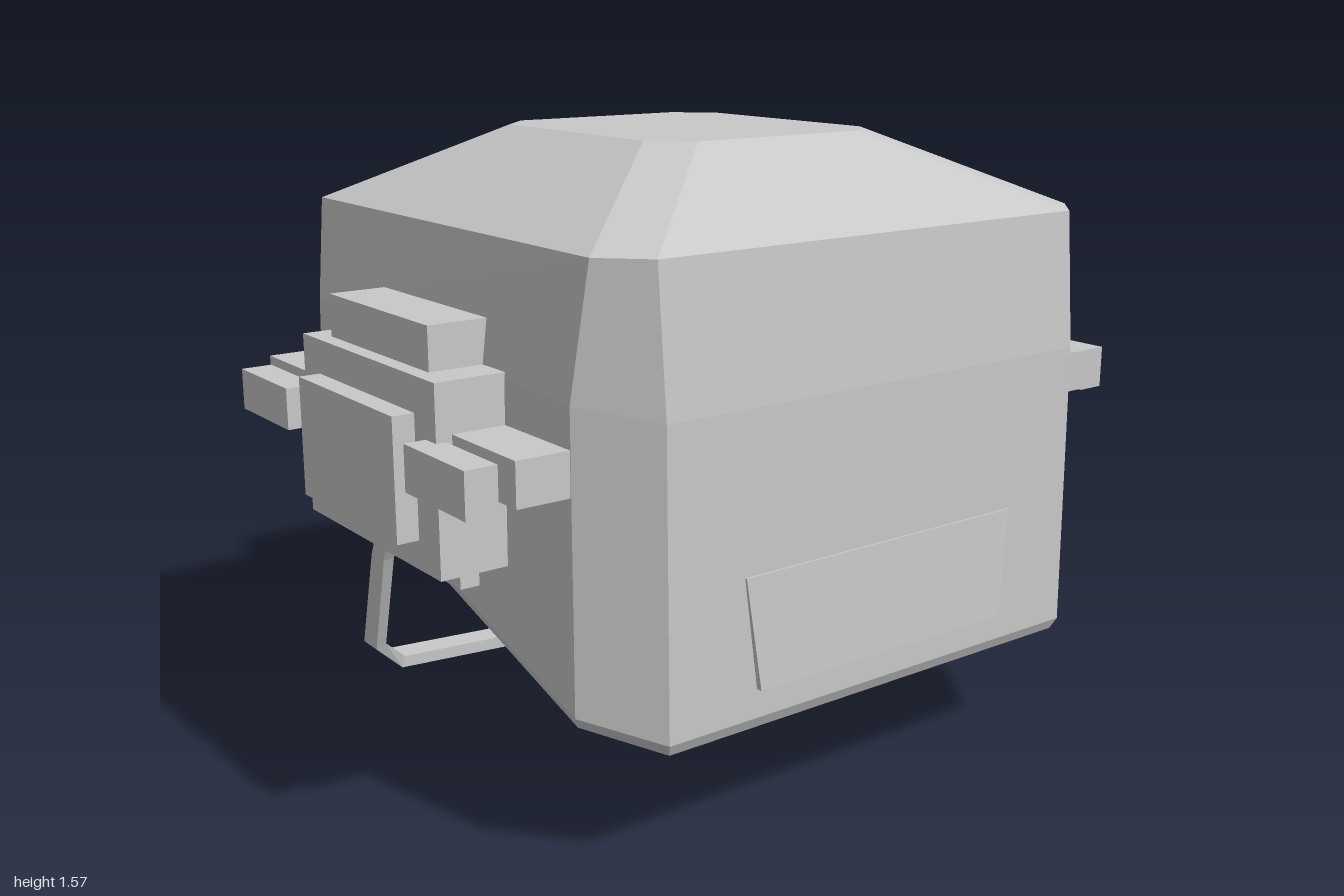
import * as THREE from 'three';

const grey = new THREE.MeshStandardMaterial({ color: 0xc8c8c8, side: THREE.DoubleSide });
grey.name = 'plain grey';

// Flat-faced skin through a list of equal-length closed rings, with optional end caps
function loft(rings, capStart, capEnd) {
  const pos = [];
  const tri = (...pts) => pts.forEach(p => pos.push(...p));
  const n = rings[0].length;
  for (let r = 0; r < rings.length - 1; r++) {
    const a = rings[r], b = rings[r + 1];
    for (let i = 0; i < n; i++) {
      const j = (i + 1) % n;
      tri(a[i], a[j], b[j]);
      tri(a[i], b[j], b[i]);
    }
  }
  const first = rings[0], last = rings[rings.length - 1];
  for (let i = 1; i < n - 1; i++) {
    if (capStart) tri(first[0], first[i + 1], first[i]);
    if (capEnd) tri(last[0], last[i], last[i + 1]);
  }
  const g = new THREE.BufferGeometry();
  g.setAttribute('position', new THREE.Float32BufferAttribute(pos, 3));
  g.computeVertexNormals();
  return g;
}

function add(parent, name, geometry) {
  const m = new THREE.Mesh(geometry, grey);
  m.name = name;
  parent.add(m);
  return m;
}

// Box given by its limits on each axis
function box(parent, name, [x0, x1], [y0, y1], [z0, z1]) {
  const m = add(parent, name, new THREE.BoxGeometry(x1 - x0, y1 - y0, z1 - z0));
  m.position.set((x0 + x1) / 2, (y0 + y1) / 2, (z0 + z1) / 2);
}

// Eight-sided ring from the four corners on +x, front to back
const ring = half => [...half, ...half.map(([x, y, z]) => [-x, y, z]).reverse()];

// Slab with a given outline in x and y, placed on a sloping surface z(x, y)
const slab = (outline, zBack, zOut) => loft([
  outline.map(([x, y]) => [x, y, zBack(x, y)]),
  outline.map(([x, y]) => [x, y, zOut(x, y)]),
], true, true);

export function createModel() {
  const model = new THREE.Group();
  model.name = 'helmet';

  // Chamfered shell, open underneath, with a sloping rim
  add(model, 'shell', loft([
    ring([[0.62, 0.29, 0.815], [0.765, 0.345, 0.675], [0.76, 0.70, -0.52], [0.62, 0.965, -0.66]]),
    ring([[0.63, 0.32, 0.83], [0.775, 0.37, 0.68], [0.775, 0.735, -0.53], [0.63, 0.975, -0.675]]),
    ring([[0.63, 1.04, 0.82], [0.77, 1.07, 0.67], [0.77, 1.12, -0.52], [0.62, 1.13, -0.67]]),
    ring([[0.63, 1.38, 0.79], [0.73, 1.38, 0.69], [0.73, 1.38, -0.56], [0.61, 1.38, -0.655]]),
    ring([[0.25, 1.57, 0.43], [0.34, 1.57, 0.34], [0.34, 1.57, -0.25], [0.25, 1.57, -0.34]]),
  ], false, true));

  // Raised trapezoid panel on the front wall
  add(model, 'frontPanel', slab(
    [[-0.385, 0.39], [0.385, 0.39], [0.42, 0.66], [-0.42, 0.66]],
    () => 0.81, (x, y) => 0.831 + (0.66 - y) * 0.05));

  // Left and right parts
  for (const [side, s] of [['left', 1], ['right', -1]]) {
    const module = new THREE.Group();
    module.name = side + 'EarModule';
    module.scale.x = s;
    model.add(module);
    box(module, 'earBody', [0.74, 0.945], [0.645, 1.095], [-0.245, 0.41]);
    box(module, 'earPlate', [0.90, 1.0], [0.715, 1.01], [-0.16, 0.315]);
    box(module, 'earTopBlock', [0.75, 0.905], [1.09, 1.2], [-0.17, 0.315]);
    box(module, 'earBottomBlock', [0.735, 0.825], [0.56, 0.65], [-0.115, 0.28]);
    box(module, 'frontArmInner', [0.75, 0.905], [0.87, 0.975], [0.40, 0.67]);
    box(module, 'frontArmOuter', [0.92, 1.0], [0.85, 0.96], [0.365, 0.625]);
    box(module, 'rearArmInner', [0.75, 0.905], [0.87, 0.98], [-0.55, -0.24]);
    box(module, 'rearArmOuter', [0.92, 1.0], [0.86, 0.965], [-0.51, -0.24]);

    // Tilted eyepiece: frame, raised lens and the wing joining it to the shell
    const eye = new THREE.Group();
    eye.name = side + 'Eyepiece';
    eye.scale.x = s;
    model.add(eye);
    const outline = [[0.62, 0.715], [0.17, 0.61], [0.08, 0.84], [0.14, 0.96], [0.54, 0.975]];
    const inset = outline.map(([x, y]) => [0.33 + (x - 0.33) * 0.82, 0.82 + (y - 0.82) * 0.8]);
    const plane = d => (x, y) => -0.755 + 0.13 * (x - 0.15) + 0.12 * (y - 0.9) + d;
    add(eye, 'eyeFrame', slab(outline, plane(0.035), plane(0)));
    add(eye, 'lens', slab(inset, plane(0), plane(-0.015)));
    add(eye, 'visorWing', loft([
      [[0.775, 0.735, -0.53], [0.63, 0.975, -0.67], [0.615, 0.95, -0.65], [0.76, 0.715, -0.52]],
      [[0.62, 0.715, -0.712], [0.54, 0.975, -0.695], [0.525, 0.955, -0.67], [0.60, 0.72, -0.685]],
    ].reverse(), true, true));
  }

  // Shelf and bridge joining the two eyepieces
  add(model, 'visorShelf', loft([0.95, 0.975].map(y => [
    [0.63, y, -0.66], [0.54, y, -0.70], [0.14, y, -0.75],
    [-0.14, y, -0.75], [-0.54, y, -0.70], [-0.63, y, -0.66],
  ]), true, true));
  box(model, 'bridge', [-0.1, 0.1], [0.885, 0.95], [-0.775, -0.735]);

  // Blocks on the back of the shell
  box(model, 'backBlock', [-0.207, 0.207], [1.235, 1.435], [-0.77, -0.59]);
  box(model, 'backTopBlock', [-0.147, 0.147], [1.43, 1.49], [-0.745, -0.62]);
  box(model, 'backCrossBlock', [-0.31, 0.31], [1.2, 1.31], [-0.725, -0.65]);
  box(model, 'backSmallBlock', [-0.115, 0.115], [1.05, 1.17], [-0.845, -0.765]);

  // Chin strap: rows of outer x, outer y, inner x, inner y, front z, back z
  const half = [
    [0.73, 0.64, 0.70, 0.64, -0.215, -0.28],
    [0.715, 0.435, 0.685, 0.435, -0.33, -0.40],
    [0.69, 0.135, 0.66, 0.145, -0.45, -0.525],
    [0.59, 0.04, 0.58, 0.072, -0.495, -0.575],
    [0, 0, 0, 0.035, -0.505, -0.578],
  ];
  const mirrored = half.slice(0, -1).reverse().map(([a, b, c, d, e, f]) => [-a, b, -c, d, e, f]);
  add(model, 'chinStrap', loft([...half, ...mirrored].map(([xo, yo, xi, yi, zf, zb]) => [
    [xo, yo, zb], [xo, yo, zf], [xi, yi, zf], [xi, yi, zb],
  ]), true, true));

  return model;
}
